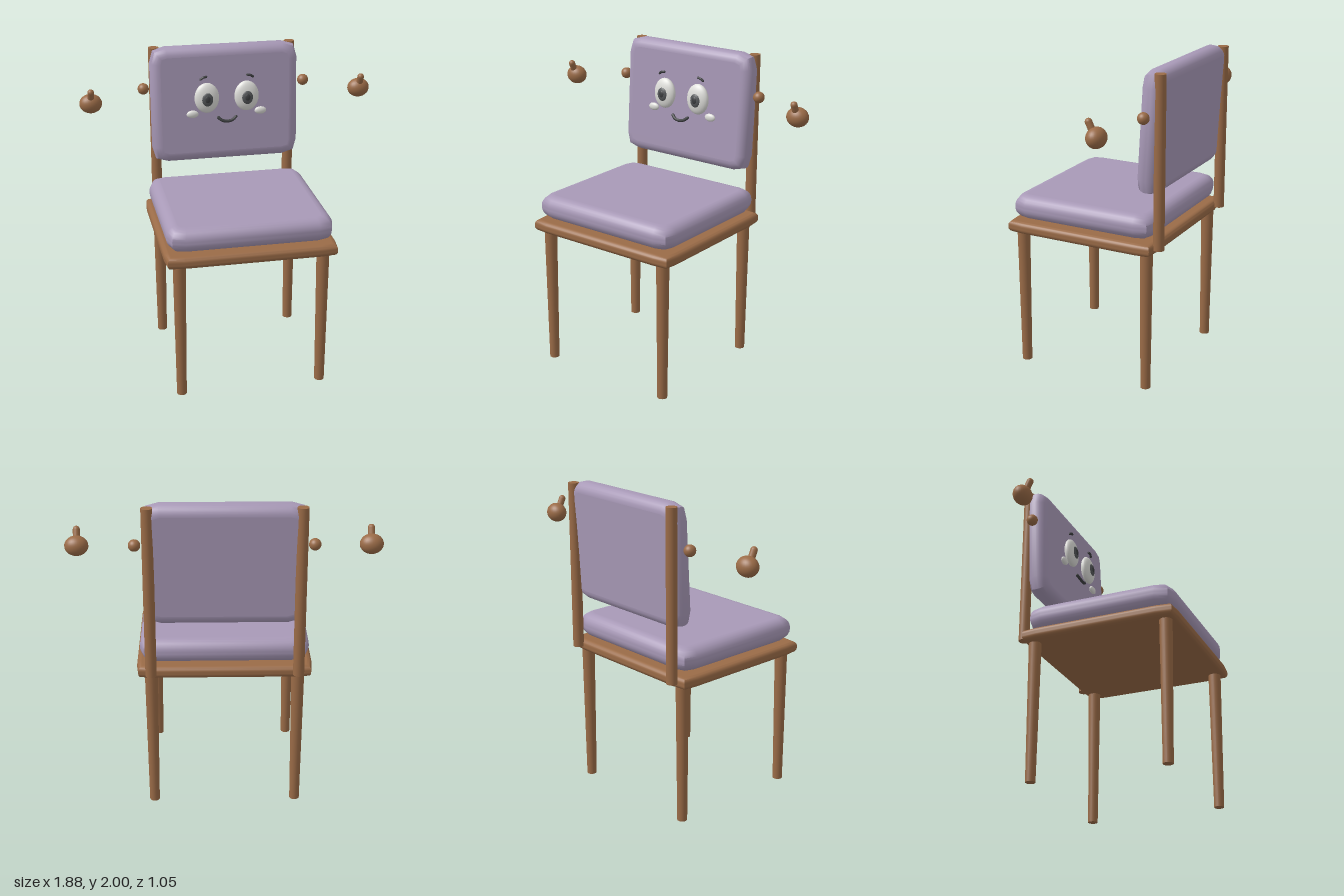
import * as THREE from 'three';
import { toCreasedNormals } from 'three/addons/utils/BufferGeometryUtils.js';

const mat = (name, color) => {
  const m = new THREE.MeshStandardMaterial({ color });
  m.name = name;
  return m;
};

// Soft-edged slab in the xy plane: half sizes w, h, thickness t, bevel b.
// Each corner is cut back by c, with a middle point pulled in by k.
function slab(w, h, t, b, c, k) {
  const corner = [[w, h - c], [w - k, h - k], [w - c, h]];
  const flip = (sx, sy) => corner.map(([x, y]) => new THREE.Vector2(x * sx, y * sy));
  const outline = [
    ...flip(1, 1), ...flip(-1, 1).reverse(),
    ...flip(-1, -1), ...flip(1, -1).reverse(),
  ];
  const raw = new THREE.ExtrudeGeometry(new THREE.Shape(outline), {
    depth: t - 2 * b, bevelThickness: b, bevelSize: b, bevelOffset: -b, bevelSegments: 6,
  });
  raw.translate(0, 0, b - t / 2);
  const geo = toCreasedNormals(raw, 0.9);
  // Keep the two big faces perfectly flat
  const p = geo.attributes.position, n = geo.attributes.normal;
  for (let i = 0; i < p.count; i += 3) {
    const z = p.getZ(i);
    if (Math.abs(Math.abs(z) - t / 2) > 1e-4) continue;
    if (Math.abs(p.getZ(i + 1) - z) > 1e-4 || Math.abs(p.getZ(i + 2) - z) > 1e-4) continue;
    for (let j = 0; j < 3; j++) n.setXYZ(i + j, 0, 0, Math.sign(z));
  }
  return geo;
}

export function createModel() {
  const model = new THREE.Group();
  model.name = 'chair';
  const wood = mat('wood', 0x9a6b47);
  const fabric = mat('lilac fabric', 0xa899b7);
  const white = mat('eye white', 0xdededa);
  const iris = mat('iris grey', 0x55585a);
  const dark = mat('dark grey', 0x3e4042);

  const add = (name, geo, material, x, y, z, parent = model) => {
    const mesh = new THREE.Mesh(geo, material);
    mesh.name = name;
    mesh.position.set(x, y, z);
    parent.add(mesh);
    return mesh;
  };
  const ball = (name, material, pos, size) => {
    const mesh = add(name, new THREE.SphereGeometry(1, 28, 20), material, ...pos);
    mesh.scale.set(...size);
    return mesh;
  };
  const tube = (name, points, r) => {
    const group = new THREE.Group();
    group.name = name;
    model.add(group);
    const curve = new THREE.CatmullRomCurve3(points.map((q) => new THREE.Vector3(...q)));
    add(name + 'Curve', new THREE.TubeGeometry(curve, 14, r, 8), dark, 0, 0, 0, group);
    for (const end of [points[0], points[points.length - 1]])
      add(name + 'End', new THREE.SphereGeometry(r, 8, 6), dark, ...end, group);
  };

  // Seat board and cushions
  add('seat', slab(0.535, 0.5, 0.075, 0.03, 0.11, 0.011).rotateX(-Math.PI / 2), wood, 0, 0.928, 0.025);
  add('seatCushion', slab(0.515, 0.48, 0.152, 0.07, 0.105, 0.025).rotateX(-Math.PI / 2), fabric, 0, 1.054, 0.025);
  const tilt = -0.055;
  add('backCushion', slab(0.48, 0.377, 0.138, 0.062, 0.1, 0.022), fabric, 0, 1.622, -0.425).rotation.x = tilt;

  for (const s of [1, -1]) {
    const side = s > 0 ? 'left' : 'right';

    // Tapered legs and back posts
    for (const [end, z] of [['Front', 0.45], ['Back', -0.41]])
      add(side + end + 'Leg', new THREE.CylinderGeometry(0.04, 0.031, 0.91, 20), wood, s * 0.447, 0.455, z);
    add(side + 'BackPost', new THREE.CylinderGeometry(0.034, 0.034, 1.06, 20), wood, s * 0.445, 1.455, -0.49);

    // Shoulder knobs and floating hands with raised thumbs
    ball(side + 'Shoulder', wood, [s * 0.525, 1.736, -0.423], [0.036, 0.036, 0.036]);
    ball(side + 'Hand', wood, [s * 0.871, 1.695, -0.312], [0.071, 0.061, 0.058]);
    add(side + 'Thumb', new THREE.CapsuleGeometry(0.021, 0.085, 6, 14), wood, s * 0.871, 1.742, -0.282).rotation.x = 0.44;

    // Eyes, cheeks and eyebrows
    ball(side + 'Eye', white, [s * 0.13, 1.68, -0.328], [0.08, 0.098, 0.036]).rotation.x = tilt;
    ball(side + 'Iris', iris, [s * 0.13, 1.675, -0.301], [0.038, 0.046, 0.016]);
    ball(side + 'Pupil', dark, [s * 0.13, 1.678, -0.295], [0.022, 0.028, 0.013]);
    ball(side + 'Cheek', white, [s * 0.223, 1.574, -0.333], [0.039, 0.025, 0.016]);
    tube(side + 'Eyebrow', [
      [s * 0.17, 1.805, -0.325], [s * 0.153, 1.817, -0.322], [s * 0.134, 1.82, -0.325],
    ], 0.008);
  }

  // Smile
  tube('mouth', [
    [-0.058, 1.547, -0.318], [-0.035, 1.53, -0.308], [0, 1.523, -0.305],
    [0.035, 1.53, -0.308], [0.058, 1.547, -0.318],
  ], 0.01);

  return model;
}
